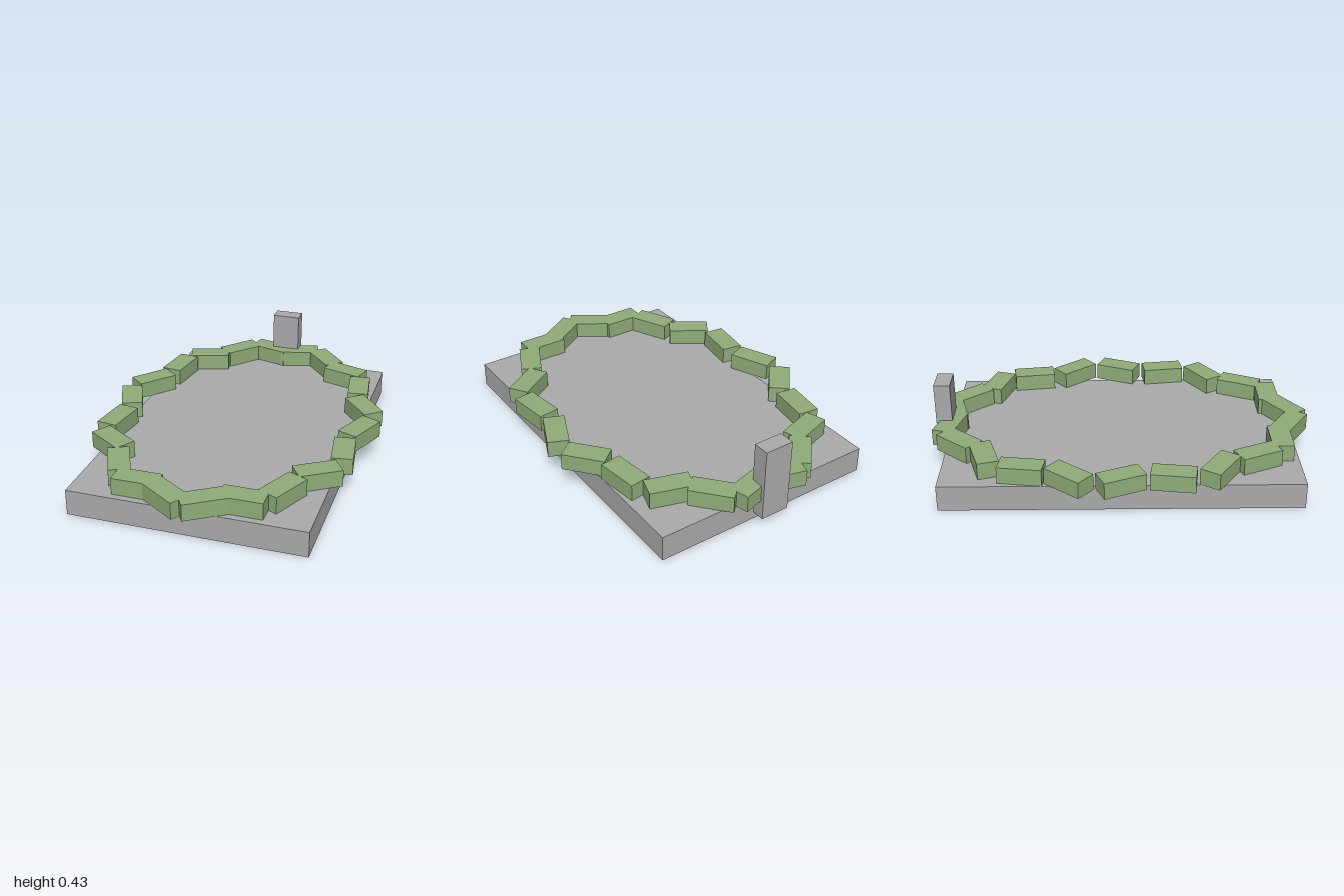
import * as THREE from 'three';

export function createModel() {
  const model = new THREE.Group();
  const stone = new THREE.MeshStandardMaterial({ color: 0xaaaaac });
  stone.name = 'stone grey';
  const leaf = new THREE.MeshStandardMaterial({ color: 0x8fac7a });
  leaf.name = 'leaf green';

  const box = (name, size, pos, material, parent = model) => {
    const mesh = new THREE.Mesh(new THREE.BoxGeometry(...size), material);
    mesh.name = name;
    mesh.position.set(...pos);
    parent.add(mesh);
    return mesh;
  };

  // Slab and the upright post behind it
  box('baseSlab', [1.215, 0.135, 1.826], [0, 0.0675, -0.013], stone);
  box('post', [0.155, 0.39, 0.085], [0, 0.235, -0.95], stone);

  // Ring of short hedge blocks: x, z and turn in degrees, from back to front
  const hedge = new THREE.Group();
  hedge.name = 'hedgeRing';
  model.add(hedge);
  const blocks = [
    [0.087, -0.918, -15], [0.267, -0.849, 49], [0.42, -0.706, 17],
    [0.54, -0.51, 82], [0.616, -0.275, 50], [0.643, -0.018, 113],
    [0.616, 0.24, 82], [0.539, 0.476, 147], [0.42, 0.675, 115],
    [0.267, 0.812, 0], [0.09, 0.883, 147],
  ];
  for (const [x, z, turn] of blocks) {
    for (const side of [1, -1]) {
      const block = box(side > 0 ? 'hedgeBlockLeft' : 'hedgeBlockRight',
        [0.225, 0.088, 0.112], [side * x, 0.181, z], leaf, hedge);
      block.rotation.y = -side * THREE.MathUtils.degToRad(turn);
    }
  }
  return model;
}
